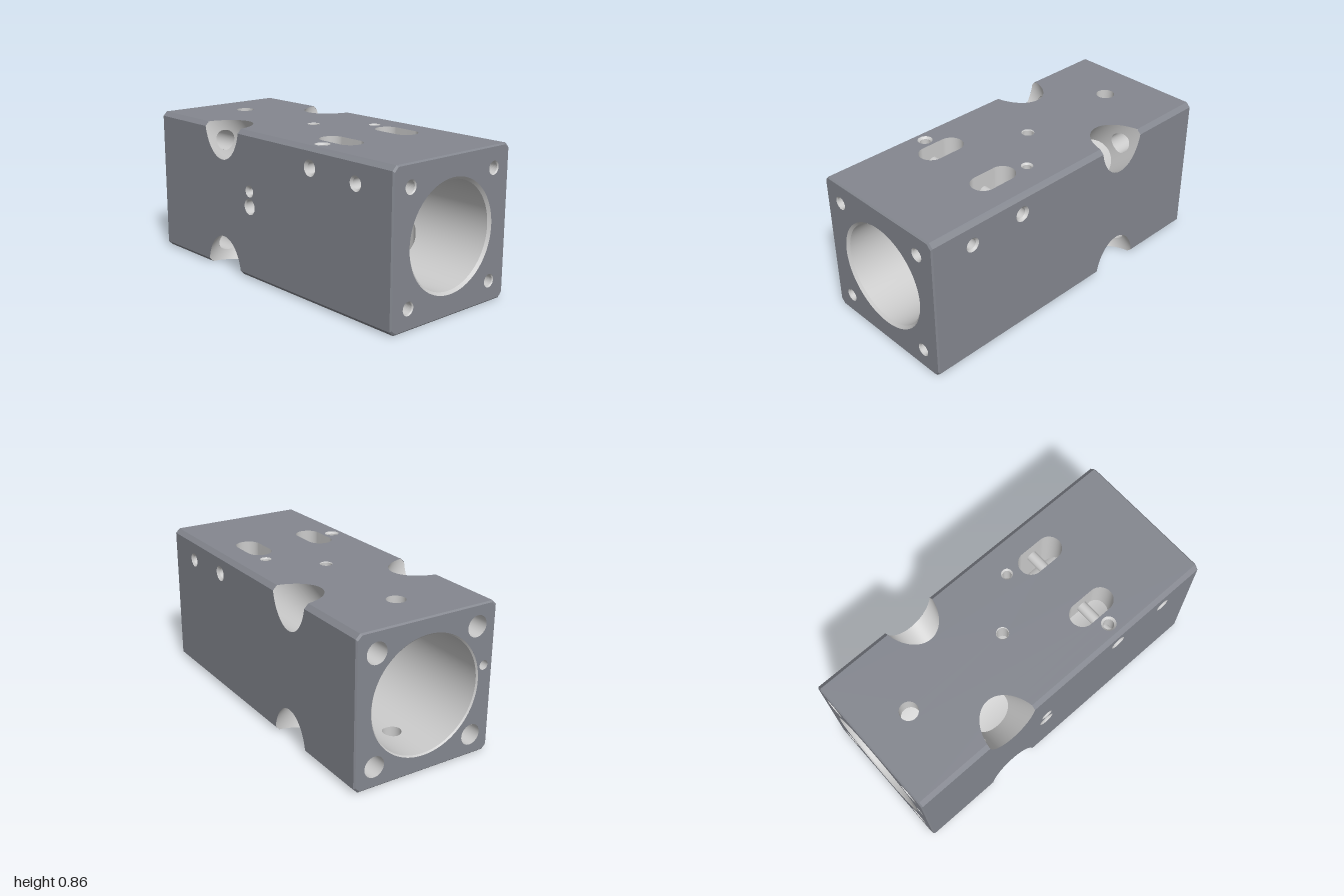
import * as THREE from 'three';
import { mergeVertices } from 'three/addons/utils/BufferGeometryUtils.js';

const H = 0.43, C = 0.025, B = 0.008;            // half section, long chamfer, end bevel
const outer = new THREE.MeshStandardMaterial({ color: 0x84878f, side: THREE.DoubleSide });
const inner = new THREE.MeshStandardMaterial({ color: 0xcccccc, side: THREE.DoubleSide });

// Holes through the long faces: x, v across the face, mouth radius r, inner radius ri,
// half length L for slots, depth for blind holes
const holesY = [
  { x: 0.392, v: 0.207, r: 0.072, ri: 0.072, L: 0.068 },
  { x: 0.392, v: -0.207, r: 0.072, ri: 0.072, L: 0.068 },
  { x: -0.725, v: 0, r: 0.053, ri: 0.053, L: 0 },
  { x: 0.18, v: -0.245, r: 0.033, ri: 0.024, L: 0 },
  { x: 0.395, v: 0.34, r: 0.042, ri: 0.03, L: 0 },
  { x: -0.07, v: 0, r: 0.036, ri: 0.032, L: 0, depth: 0.12 },
];
const holesBack = [
  { x: 0.395, v: 0.315, r: 0.045, ri: 0.031, L: 0 },
  { x: 0.74, v: 0.298, r: 0.041, ri: 0.03, L: 0 },
];
const holesFront = [...holesBack,
  { x: -0.125, v: 0, r: 0.047, ri: 0.04, L: 0, depth: 0.1 },
  { x: -0.125, v: 0.09, r: 0.035, ri: 0.02, L: 0, depth: 0.1 },
];

// Grid surface; fn(a, b) gives [x, y, z, dropped], cells with all corners dropped are left out
function grid(na, nb, fn, flat = false) {
  const pos = [], cut = [], idx = [];
  for (let i = 0; i <= na; i++) for (let j = 0; j <= nb; j++) {
    const p = fn(i / na, j / nb, i, j);
    pos.push(p[0], p[1], p[2]);
    cut.push(!!p[3]);
  }
  for (let i = 0; i < na; i++) for (let j = 0; j < nb; j++) {
    const a = i * (nb + 1) + j, b = a + 1, c = a + nb + 1, d = c + 1;
    if (cut[a] && cut[b] && cut[c] && cut[d]) continue;
    idx.push(a, c, b, b, c, d);
  }
  let g = new THREE.BufferGeometry();
  g.setAttribute('position', new THREE.Float32BufferAttribute(pos, 3));
  g.setIndex(idx);
  g = flat ? g.toNonIndexed() : mergeVertices(g, 1e-5);
  g.computeVertexNormals();
  return g;
}

// Flat shape placed through a mapping of its two coordinates
function sheet(points, holes, map) {
  const s = new THREE.Shape(points);
  s.holes = holes.map(h => new THREE.Path(h));
  const g = new THREE.ShapeGeometry(s), p = g.attributes.position;
  for (let i = 0; i < p.count; i++) p.setXYZ(i, ...map(p.getX(i), p.getY(i)));
  g.computeVertexNormals();
  return g;
}

function capsule(x, v, r, L = 0, n = 40) {
  return Array.from({ length: n }, (_, i) => {
    const a = (i + 0.5) / n * Math.PI * 2, c = Math.cos(a);
    return new THREE.Vector2(x + Math.sign(c) * L + r * c, v + r * Math.sin(a));
  });
}

function octagon(h, c) {
  const k = h - c;
  return [[h, -k], [h, k], [k, h], [-k, h], [-h, k], [-h, -k], [-k, -h], [k, -h]]
    .map(p => new THREE.Vector2(...p));
}

// Tapered corner pocket: s = depth along the diagonal, u = across it
const PX = -0.38, D = H * Math.SQRT2, S0 = C / Math.SQRT2, RL = 0.33;
const pocketR = s => 0.16 - 0.135 * s;
const rimDepth = k => Math.max(S0, 0.16 * k / (1 + 0.135 * k));
const PHI = Math.asin(S0 / pocketR(S0));

const boreAt = x => (x < -0.2 ? RL : x < 0 ? 0.172 : x < 0.1 ? 0.245 : 0.295);

// Moves a bore point that falls inside a cross hole onto the hole's edge
function trim(x, y, z) {
  const R = Math.hypot(y, z);
  let out = [x, y, z, false];
  const test = (h, v, w, put) => {
    if (h.depth) return;
    const cx = Math.min(h.x + h.L, Math.max(h.x - h.L, x)), d = Math.hypot(x - cx, v - h.v);
    if (d >= h.ri || d < 1e-6) { if (d < 1e-6) out[3] = true; return; }
    const nv = Math.max(-R, Math.min(R, h.v + (v - h.v) * h.ri / d));
    const nw = (w < 0 ? -1 : 1) * Math.sqrt(R * R - nv * nv);
    out = put(cx + (x - cx) * h.ri / d, nv, nw);
  };
  holesY.forEach(h => test(h, z, y, (a, v, w) => [a, w, v, true]));
  holesBack.forEach(h => test(h, y, z, (a, v, w) => [a, v, w, true]));
  return out;
}

export function createModel() {
  const model = new THREE.Group(), block = new THREE.Group();
  block.name = 'bodyBlock';
  block.position.y = H;
  model.add(block);
  const add = (name, g, m = inner) => {
    const mesh = new THREE.Mesh(g, m);
    mesh.name = name;
    block.add(mesh);
  };

  // Long faces with notched edges, and the walls of their holes
  const notch = Array.from({ length: 33 }, (_, i) => {
    const a = PHI + (Math.PI - 2 * PHI) * i / 32, s = rimDepth(Math.sin(a));
    return [PX - pocketR(s) * Math.cos(a), H - s * Math.SQRT2];
  });
  const E = 1 - B, K = H - C;
  const outline = [[-E, -K], ...notch.map(([x, v]) => [x, -v]), [E, -K], [E, K],
    ...notch.slice().reverse(), [-E, K]].map(p => new THREE.Vector2(...p));
  const faces = [
    ['top', holesY, (x, v, d) => [x, d, v]],
    ['bottom', holesY, (x, v, d) => [x, -d, v]],
    ['front', holesFront, (x, v, d) => [x, v, d]],
    ['back', holesBack, (x, v, d) => [x, v, -d]],
  ];
  for (const [name, holes, map] of faces) {
    add(name + 'Face', sheet(outline, holes.map(h => capsule(h.x, h.v, h.r, h.L)),
      (x, v) => map(x, v, H)), outer);
    for (const h of holes) {
      const mouth = capsule(h.x, h.v, h.r, h.L), bore = capsule(h.x, h.v, h.ri, h.L);
      const end = p => {
        if (h.depth) return H - h.depth;
        const R = boreAt(h.x);
        return Math.sqrt(Math.max(0, R * R - p.y * p.y));
      };
      const lip = H - (h.r - h.ri);
      if (h.r > h.ri) add(name + 'HoleLip', grid(1, 40, (a, b, i, j) => {
        const p = (i ? bore : mouth)[j % 40];
        return map(p.x, p.y, i ? lip : H);
      }));
      add(name + 'HoleWall', grid(1, 40, (a, b, i, j) => {
        const p = bore[j % 40];
        return map(p.x, p.y, i ? end(p) : lip);
      }));
      if (h.depth) add(name + 'HoleFloor', sheet(bore, [], (x, v) => map(x, v, H - h.depth)));
    }
  }

  // Corner chamfers, pockets and bolt holes, mirrored to the four long edges
  const boltS = 0.12 * Math.SQRT2, boltR = 0.06, rimX = notch[0][0] - PX;
  for (const sy of [1, -1]) for (const sz of [1, -1]) {
    for (const [x0, x1] of [[-E, PX + rimX], [PX - rimX, E]])
      add('edgeChamfer', grid(1, 1, (a, b) =>
        [x0 + (x1 - x0) * a, sy * (H - C * b), sz * (H - C * (1 - b))], true), outer);
    const place = (x, s, u) => [x, sy * (H + (u - s) / Math.SQRT2), sz * (H - (u + s) / Math.SQRT2)];
    add('cornerPocket', grid(24, 96, (a, b) => {
      const phi = b * Math.PI * 2, k = Math.sin(phi), s0 = rimDepth(Math.abs(k));
      let s1 = 0.3;
      for (let n = 0; n < 6; n++) s1 = D - Math.sqrt(RL * RL - (k * pocketR(s1)) ** 2);
      let s = s0 + (s1 - s0) * a, u = k * pocketR(s), cut = false;
      const d = Math.hypot(s - boltS, u), left = Math.cos(phi) < 0;
      if (left && d < boltR) {
        cut = true;
        const f = boltR / Math.max(d, 1e-6);
        s = boltS + (s - boltS) * f;
        u *= f;
      }
      const w = Math.sqrt(Math.max(0, pocketR(s) ** 2 - u * u));
      return [...place(PX + (left ? -w : w), s, u), cut];
    }));
    add('boltHole', grid(1, 40, (a, b, i) => {
      const t = b * Math.PI * 2, s = boltS + boltR * Math.cos(t), u = boltR * Math.sin(t);
      return place(i ? PX - Math.sqrt(pocketR(s) ** 2 - u * u) : -1, s, u);
    }));
    // Blind threaded holes in the right end
    const rings = [[1, 0.038], [0.994, 0.032], [0.84, 0.032], [0.83, 0]];
    add('endScrewHole', grid(3, 32, (a, b, i) => {
      const t = b * Math.PI * 2, [x, r] = rings[i];
      return [x, sy * 0.31 + r * Math.cos(t), sz * 0.31 + r * Math.sin(t)];
    }, true));
  }

  // End faces and their bevels
  const big = octagon(H, C), small = octagon(H - B, C);
  for (const sx of [1, -1]) {
    const holes = [capsule(0, 0, sx > 0 ? 0.31 : 0.338, 0, 128)];
    for (const y of [0.31, -0.31]) for (const z of [0.31, -0.31])
      holes.push(capsule(z, y, sx > 0 ? 0.038 : boltR));
    if (sx < 0) holes.push(capsule(0.37, 0.08, 0.027));
    add('endFace', sheet(small, holes, (z, y) => [sx, y, z]), outer);
    add('endBevel', grid(1, 8, (a, b, i, j) => {
      const p = (i ? small : big)[j % 8];
      return [sx * (i ? 1 : E), p.y, p.x];
    }, true), outer);
  }
  const port = [[-1, 0.027], [-0.85, 0.027], [-0.85, 0]];
  add('endPort', grid(2, 32, (a, b, i) => {
    const t = b * Math.PI * 2, [x, r] = port[i];
    return [x, 0.08 + r * Math.cos(t), 0.37 + r * Math.sin(t)];
  }, true));

  // Stepped main bore from the left end to the right end: x and radius
  const steps = [[-1, 0.338], [-0.992, RL], [-0.2, RL], [-0.2, 0.172], [0, 0.172],
    [0, 0.24], [0.006, 0.245], [0.1, 0.245], [0.1, 0.295], [0.985, 0.295], [1, 0.31]];
  for (let n = 0; n + 1 < steps.length; n++) {
    const [x0, r0] = steps[n], [x1, r1] = steps[n + 1];
    const rows = r0 === r1 ? Math.ceil((x1 - x0) / 0.014) : 1;
    add(r0 === r1 ? 'boreWall' : 'boreStep', grid(rows, 128, (a, b) => {
      const t = b * Math.PI * 2, r = r0 + (r1 - r0) * a, x = x0 + (x1 - x0) * a;
      const y = r * Math.cos(t), z = r * Math.sin(t);
      return r0 === r1 && r > 0.2 ? trim(x, y, z) : [x, y, z];
    }));
  }
  return model;
}
